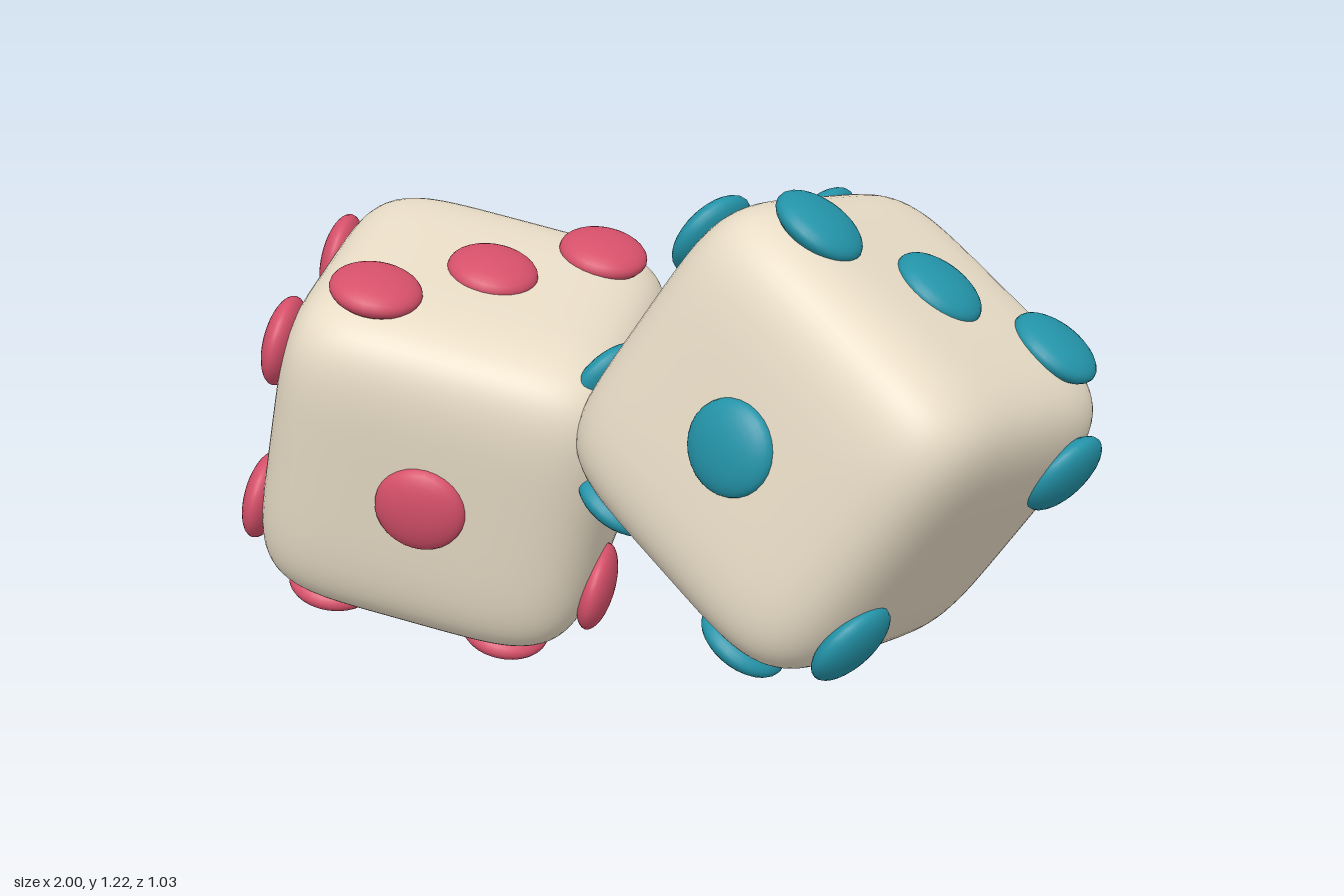
import * as THREE from 'three';

const HALF = 0.4;      // centre to face
const STEP = 0.211;    // pip spacing
const ROUND = 5;       // superellipsoid exponent

// Cube with pillowy faces: push box vertices onto a superellipsoid, with exact smooth normals
function pillowCube() {
  const geo = new THREE.BoxGeometry(2, 2, 2, 28, 28, 28);
  const pos = geo.attributes.position, nor = geo.attributes.normal;
  const v = new THREE.Vector3();
  const pw = (t, e) => Math.sign(t) * Math.abs(t) ** e;
  for (let i = 0; i < pos.count; i++) {
    v.fromBufferAttribute(pos, i);
    const len = (Math.abs(v.x) ** ROUND + Math.abs(v.y) ** ROUND + Math.abs(v.z) ** ROUND) ** (1 / ROUND);
    v.multiplyScalar(HALF / len);
    pos.setXYZ(i, v.x, v.y, v.z);
    v.set(pw(v.x, ROUND - 1), pw(v.y, ROUND - 1), pw(v.z, ROUND - 1)).normalize();
    nor.setXYZ(i, v.x, v.y, v.z);
  }
  return geo;
}

// Each face: its normal, the two in-plane axes, and pip positions in steps
const X = new THREE.Vector3(1, 0, 0), Y = new THREE.Vector3(0, 1, 0), Z = new THREE.Vector3(0, 0, 1);
const corners = [[-1, -1], [-1, 1], [1, -1], [1, 1]];
const FACES = [
  { name: 'one', n: Z, sign: 1, u: X, v: Y, pips: [[0, 0]] },
  { name: 'two', n: X, sign: 1, u: Y, v: Z, pips: [[1, -1], [-1, 1]] },
  { name: 'three', n: Y, sign: 1, u: X, v: Z, pips: [[-1, 1], [0, 0], [1, -1]] },
  { name: 'four', n: Y, sign: -1, u: X, v: Z, pips: corners },
  { name: 'five', n: X, sign: -1, u: Y, v: Z, pips: [...corners, [0, 0]] },
  { name: 'six', n: Z, sign: -1, u: X, v: Y, pips: [...corners, [-1, 0], [1, 0]] },
];

function makeDie(name, bodyGeo, pipGeo, bodyMat, pipColor, center, xAxis, yAxis) {
  const die = new THREE.Group();
  die.name = name;
  const body = new THREE.Mesh(bodyGeo, bodyMat);
  body.name = 'dieBody';
  die.add(body);

  // Raised lens-shaped pips
  const pipMat = new THREE.MeshStandardMaterial({ color: pipColor });
  for (const f of FACES) {
    const face = new THREE.Group();
    face.name = f.name + 'Pips';
    for (const [a, b] of f.pips) {
      const pip = new THREE.Mesh(pipGeo, pipMat);
      pip.name = 'pip';
      pip.position.copy(f.n).multiplyScalar(f.sign * HALF)
        .addScaledVector(f.u, a * STEP).addScaledVector(f.v, b * STEP);
      pip.quaternion.setFromUnitVectors(Y, f.n);
      face.add(pip);
    }
    die.add(face);
  }

  // Tumbled orientation from two of the die's axes
  const y = new THREE.Vector3(...yAxis).normalize();
  const z = new THREE.Vector3(...xAxis).cross(y).normalize();
  const x = y.clone().cross(z);
  die.quaternion.setFromRotationMatrix(new THREE.Matrix4().makeBasis(x, y, z));
  die.position.set(...center);
  return die;
}

export function createModel() {
  const group = new THREE.Group();
  group.name = 'pairOfDice';
  const bodyGeo = pillowCube();
  const pipGeo = new THREE.SphereGeometry(1, 28, 16).scale(0.103, 0.041, 0.103);
  const bodyMat = new THREE.MeshStandardMaterial({ color: 0xe8dcc6 });
  group.add(
    makeDie('leftDie', bodyGeo, pipGeo, bodyMat, 0x2393a8,
      [0.465, 0.67, -0.01], [0.849, -0.495, 0.186], [0.524, 0.843, -0.129]),
    makeDie('rightDie', bodyGeo, pipGeo, bodyMat, 0xd6506a,
      [-0.457, 0.51, 0.05], [0.912, -0.21, -0.352], [0.245, 0.968, 0.055]),
  );
  return group;
}
